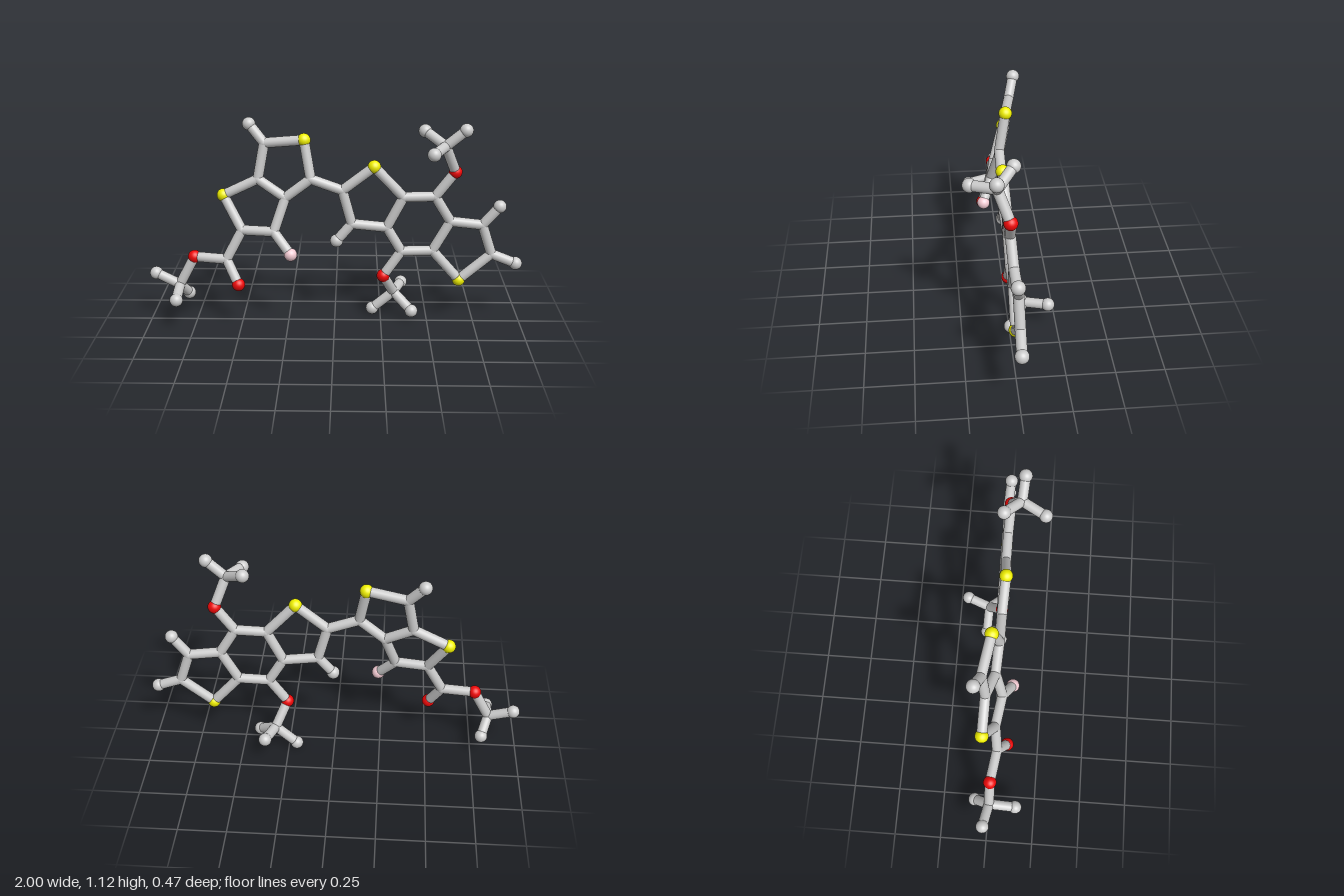
import * as THREE from 'three';

const STICK = 0.027, JOINT = 0.028, BALL = 0.035;

const grey = new THREE.MeshStandardMaterial({ color: 0xcccccc });
const red = new THREE.MeshStandardMaterial({ color: 0xee0808 });
const yellow = new THREE.MeshStandardMaterial({ color: 0xf0f000 });
const pink = new THREE.MeshStandardMaterial({ color: 0xf4ccd4 });

// Atom kinds: c = carbon joint, h = end ball, o = oxygen, s = sulphur, f = fluorine
const kinds = {
  c: { name: 'carbonJoint', radius: JOINT, material: grey },
  h: { name: 'endBall', radius: BALL, material: grey },
  o: { name: 'oxygenBall', radius: BALL, material: red },
  s: { name: 'sulphurBall', radius: BALL, material: yellow },
  f: { name: 'fluorineBall', radius: BALL, material: pink },
};

// Each fragment: atoms (first letter gives the kind) with their positions
const fragments = {
  leftDoubleRing: {
    s1: [-0.59, 0.70, -0.045], s2: [-0.16, 1.005, -0.025],
    cA: [-0.37, 0.98, -0.06], hA: [-0.45, 1.075, -0.09],
    cB: [-0.405, 0.79, -0.04], cC: [-0.26, 0.70, 0.0], cD: [-0.125, 0.805, 0.01],
    cE: [-0.32, 0.525, 0.04], fE: [-0.23, 0.415, 0.09], cF: [-0.49, 0.525, 0.015],
  },
  esterArm: {
    cG: [-0.575, 0.365, 0.03], oG: [-0.51, 0.24, 0.08], oH: [-0.75, 0.37, 0.005],
    cI: [-0.835, 0.21, 0.005], hI1: [-0.965, 0.265, -0.02],
    hI2: [-0.835, 0.175, 0.145], hI3: [-0.80, 0.13, -0.075],
  },
  rightTripleRing: {
    c1: [0.04, 0.745, 0.01], s3: [0.205, 0.875, 0.02], c2: [0.36, 0.71, 0.01],
    c3: [0.275, 0.54, 0.0], c4: [0.09, 0.56, 0.005], h4: [0.01, 0.465, 0.005],
    c5: [0.525, 0.715, 0.01], c6: [0.61, 0.575, 0.0], c7: [0.52, 0.41, -0.005],
    c8: [0.355, 0.405, -0.005], c9: [0.78, 0.555, -0.005], h9: [0.865, 0.66, 0.005],
    c10: [0.835, 0.39, -0.01], h10: [0.965, 0.34, -0.005], s4: [0.665, 0.245, -0.005],
  },
  upperMethoxy: {
    oU: [0.625, 0.85, 0.018], cU: [0.565, 1.0, 0.075],
    hU1: [0.465, 1.06, -0.01], hU2: [0.665, 1.085, 0.085], hU3: [0.498, 0.987, 0.2],
  },
  lowerMethoxy: {
    oL: [0.26, 0.265, -0.003], cL: [0.32, 0.14, -0.08],
    hL1: [0.205, 0.04, -0.087], hL2: [0.415, 0.06, -0.003], hL3: [0.365, 0.15, -0.203],
  },
};

// Chains of bonded atoms
const bonds = {
  leftDoubleRing: ['cA s2 cD cC cB cA hA', 'cB s1 cF cE cC', 'cE fE'],
  esterArm: ['cF cG oG', 'cG oH cI hI1', 'hI2 cI hI3'],
  rightTripleRing: ['cD c1 s3 c2 c3 c4 c1', 'c4 h4', 'c2 c5 c6 c7 c8 c3',
    'c6 c9 c10 s4 c7', 'c9 h9', 'c10 h10'],
  upperMethoxy: ['c5 oU cU hU1', 'hU2 cU hU3'],
  lowerMethoxy: ['c8 oL cL hL1', 'hL2 cL hL3'],
};

const UP = new THREE.Vector3(0, 1, 0);
const stickGeometry = new THREE.CylinderGeometry(STICK, STICK, 1, 20, 1, true);

// Cylinder stretched between two points
function makeStick(a, b) {
  const dir = b.clone().sub(a);
  const mesh = new THREE.Mesh(stickGeometry, grey);
  mesh.name = 'bondStick';
  mesh.position.copy(a).add(b).multiplyScalar(0.5);
  mesh.scale.y = dir.length();
  mesh.quaternion.setFromUnitVectors(UP, dir.normalize());
  return mesh;
}

export function createModel() {
  const model = new THREE.Group();
  model.name = 'stickMolecule';
  const points = {};
  const ballGeometry = {};
  for (const k in kinds) ballGeometry[k] = new THREE.SphereGeometry(kinds[k].radius, 24, 16);

  for (const [name, atoms] of Object.entries(fragments)) {
    const group = new THREE.Group();
    group.name = name;
    model.add(group);

    // Balls and rounded joints
    for (const [id, p] of Object.entries(atoms)) {
      points[id] = new THREE.Vector3(...p);
      const ball = new THREE.Mesh(ballGeometry[id[0]], kinds[id[0]].material);
      ball.name = kinds[id[0]].name;
      ball.position.copy(points[id]);
      group.add(ball);
    }

    // Sticks along each chain
    for (const chain of bonds[name]) {
      const ids = chain.split(' ');
      for (let i = 1; i < ids.length; i++) {
        group.add(makeStick(points[ids[i - 1]], points[ids[i]]));
      }
    }
  }
  return model;
}
